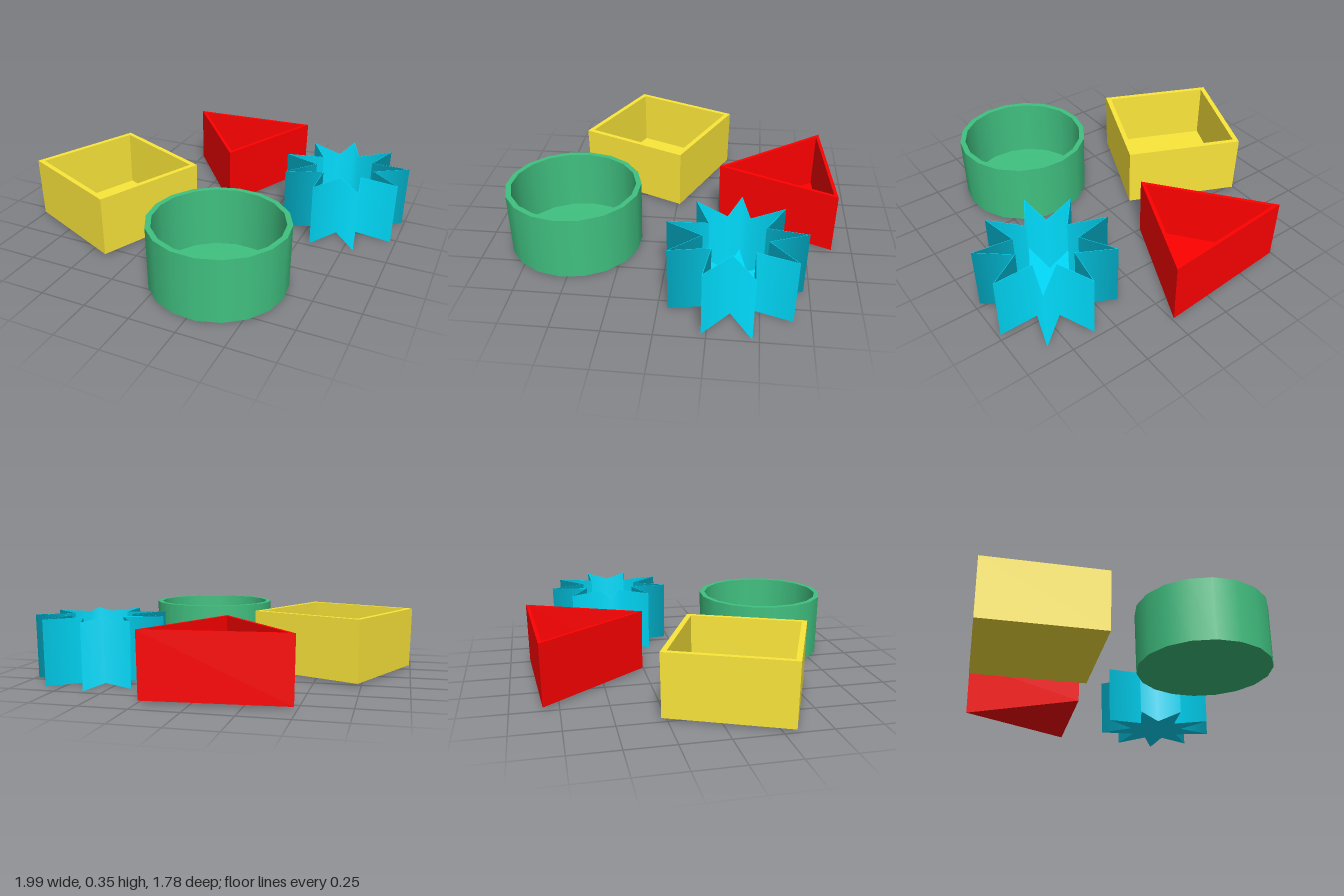
import * as THREE from 'three';

const TOP = 0.35;

// Open tray: an outline lofted from the base centre, up the wall, over the rim and down to the floor
function tray(name, color, [cx, cz], outline, base, innerScale, roundShading = false) {
  const rings = [
    [0, base], [0.988, base], [1, TOP], [innerScale, TOP],
    [innerScale * 0.988, base + 0.02], [0, base + 0.02],
  ];
  const n = outline.length;
  const at = (r, i) => {
    const [s, y] = rings[r];
    const [x, z] = outline[i % n];
    return [x * s, y, z * s];
  };
  const positions = [];
  for (let r = 0; r < rings.length - 1; r++) {
    for (let i = 0; i < n; i++) {
      const a = at(r, i), b = at(r, i + 1), c = at(r + 1, i + 1), d = at(r + 1, i);
      if (rings[r + 1][0] > 0) positions.push(...a, ...d, ...c);
      if (rings[r][0] > 0) positions.push(...a, ...c, ...b);
    }
  }
  const geometry = new THREE.BufferGeometry();
  geometry.setAttribute('position', new THREE.Float32BufferAttribute(positions, 3));
  geometry.computeVertexNormals();
  if (roundShading) shadeWallsRound(geometry);
  const mesh = new THREE.Mesh(geometry, new THREE.MeshStandardMaterial({ color }));
  mesh.name = name;
  mesh.position.set(cx, 0, cz);
  return mesh;
}

// Gives the walls the smooth radial normals of a cylinder, leaving rim and floors flat
function shadeWallsRound(geometry) {
  const { position, normal } = geometry.attributes;
  const radial = new THREE.Vector3();
  const flat = new THREE.Vector3();
  for (let i = 0; i < position.count; i++) {
    flat.fromBufferAttribute(normal, i);
    if (Math.abs(flat.y) > 0.5) continue;
    radial.fromBufferAttribute(position, i).setY(0).normalize();
    radial.multiplyScalar(Math.sign(radial.dot(flat)));
    normal.setXYZ(i, radial.x, radial.y, radial.z);
  }
}

// Points around a centre; radii alternate through the given list
function radialOutline(count, radii, startDegrees) {
  return Array.from({ length: count }, (_, i) => {
    const angle = THREE.MathUtils.degToRad(startDegrees + (360 * i) / count);
    const r = radii[i % radii.length];
    return [r * Math.cos(angle), r * Math.sin(angle)];
  });
}

export function createModel() {
  const group = new THREE.Group();
  group.name = 'shapeTrays';

  const square = radialOutline(4, [0.464], 68.8);
  const circle = radialOutline(18, [0.367], 3);
  const triangle = [[-0.4, -0.175], [0.34, -0.23], [0.06, 0.405]];
  const star = radialOutline(18, [0.359, 0.167], -96.5);

  group.add(
    tray('squareTray', 0xfbe63a, [-0.567, 0.148], square, 0.013, 0.915),
    tray('roundTray', 0x40c080, [0.252, 0.522], circle, 0, 0.92, true),
    tray('triangleTray', 0xff0000, [-0.09, -0.66], triangle, 0.013, 0.91),
    tray('starTray', 0x00dcfc, [0.646, -0.367], star, 0, 0.975, true)
  );
  return group;
}
